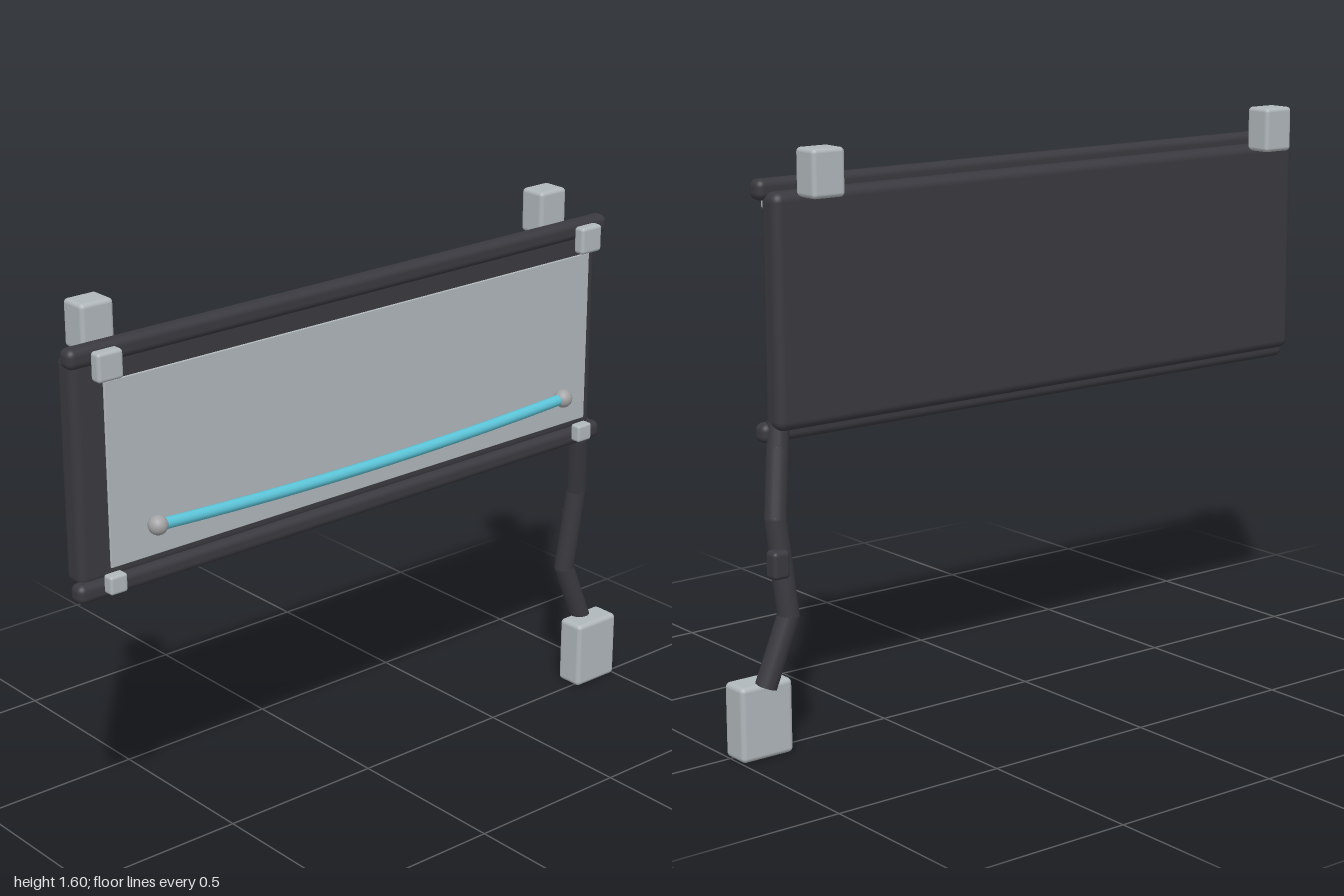
import * as THREE from 'three';
import { RoundedBoxGeometry } from 'three/addons/geometries/RoundedBoxGeometry.js';

function material(name, color) {
  const m = new THREE.MeshStandardMaterial({ color });
  m.name = name;
  return m;
}

export function createModel() {
  const group = new THREE.Group();
  const dark = material('charcoal', 0x3a393f);
  const grey = material('light grey', 0xb0b7bb);
  const cyan = material('cyan', 0x5cc4d8);
  const steel = material('steel grey', 0xa3a3a5);

  const add = (name, geometry, mat) => {
    const mesh = new THREE.Mesh(geometry, mat);
    mesh.name = name;
    group.add(mesh);
    return mesh;
  };
  // Rounded box given by its extents on each axis
  const box = (name, mat, [x0, x1], [y0, y1], [z0, z1], radius) =>
    add(name, new RoundedBoxGeometry(x1 - x0, y1 - y0, z1 - z0, 3, radius), mat)
      .position.set((x0 + x1) / 2, (y0 + y1) / 2, (z0 + z1) / 2);
  const ball = (name, mat, p, radius) =>
    add(name, new THREE.SphereGeometry(radius, 20, 14), mat).position.copy(p);
  // Straight tube between two points
  const rod = (name, mat, a, b, radius) => {
    const d = b.clone().sub(a);
    const mesh = add(name, new THREE.CylinderGeometry(radius, radius, d.length(), 16), mat);
    mesh.position.copy(a).add(b).multiplyScalar(0.5);
    mesh.quaternion.setFromUnitVectors(new THREE.Vector3(0, 1, 0), d.normalize());
  };

  // Casing with a protruding rail along its top and bottom
  box('casing', dark, [-0.98, 0.86], [0.868, 1.49], [-0.057, 0.018], 0.025);
  box('topRail', dark, [-1, 0.88], [1.467, 1.522], [-0.012, 0.04], 0.02);
  box('bottomRail', dark, [-1, 0.88], [0.832, 0.885], [-0.012, 0.04], 0.02);

  // Thin front panel and its corner clips
  box('frontPanel', grey, [-0.91, 0.79], [0.922, 1.428], [0.049, 0.056], 0.002);
  for (const x of [-0.9, 0.78]) {
    box('topClip', grey, [x - 0.039, x + 0.039], [1.433, 1.512], [0.04, 0.077], 0.01);
    box('bottomClip', grey, [x - 0.027, x + 0.027], [0.854, 0.906], [0.04, 0.075], 0.008);
  }

  // Hanging blocks behind the top edge
  for (const x of [-0.855, 0.735])
    box('hangerBlock', grey, [x - 0.05, x + 0.05], [1.475, 1.603], [-0.122, -0.038], 0.012);

  // Sagging bar with ball ends
  const ends = [-0.785, 0.668].map((x) => new THREE.Vector3(x, 1.02, 0.09));
  const sag = new THREE.QuadraticBezierCurve3(ends[0], new THREE.Vector3(-0.06, 0.98, 0.09), ends[1]);
  add('bar', new THREE.TubeGeometry(sag, 24, 0.016, 12), cyan);
  ends.forEach((p) => ball('barEnd', steel, p, 0.027));

  // Bent cable with a small switch, down to the plug block
  const cable = [
    [0.83, 0.89, -0.005], [0.84, 0.82, -0.014], [0.87, 0.64, -0.043],
    [0.85, 0.38, -0.064], [0.918, 0.195, -0.053],
  ].map((p) => new THREE.Vector3(...p));
  for (let i = 0; i < cable.length - 1; i++) {
    rod('cable', dark, cable[i], cable[i + 1], 0.03);
    if (i) ball('cableBend', dark, cable[i], 0.03);
  }
  box('cableSwitch', dark, [0.86, 0.912], [0.49, 0.566], [-0.098, -0.052], 0.012);
  box('plugBlock', grey, [0.84, 1], [0, 0.207], [-0.065, 0.023], 0.014);

  return group;
}
